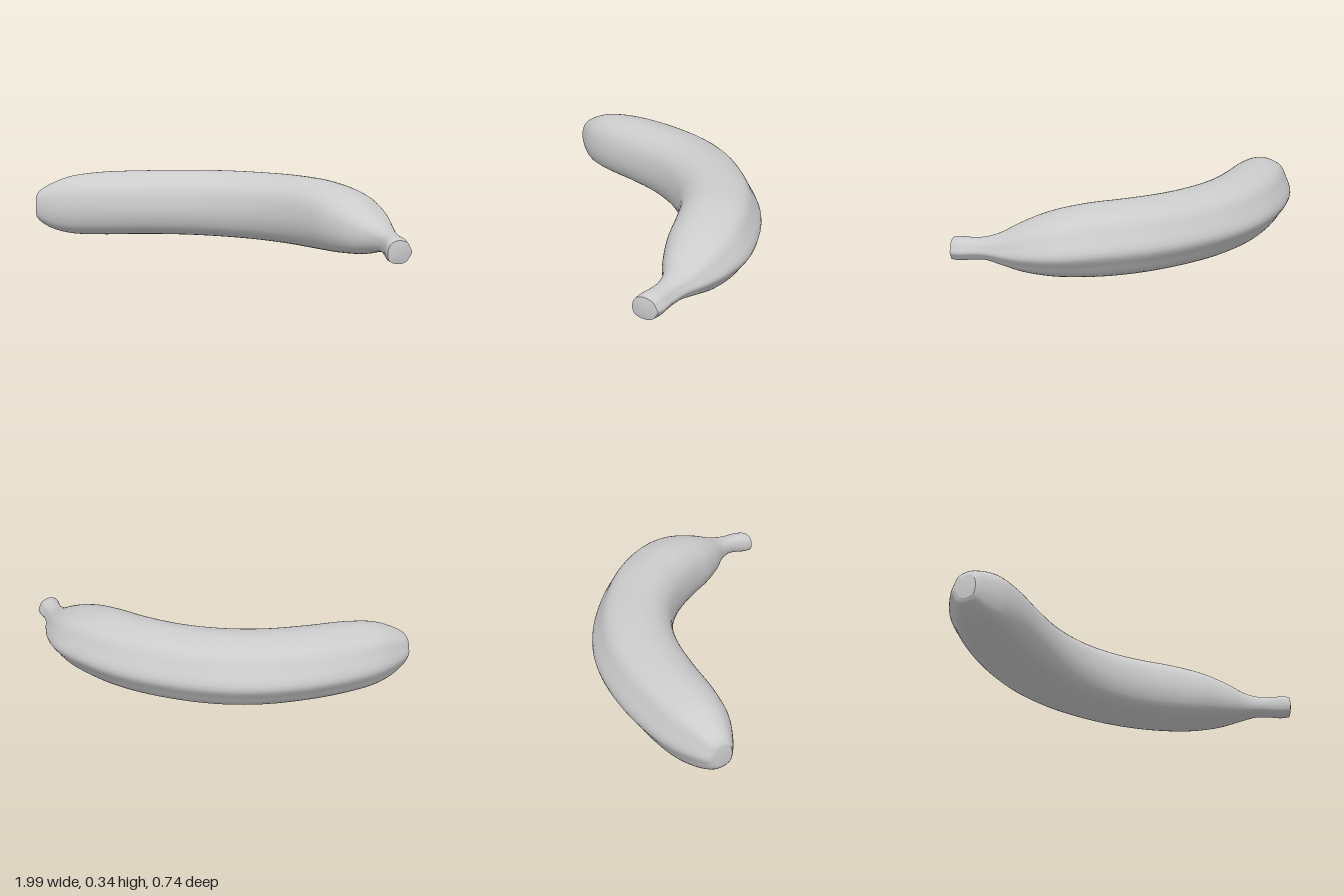
import * as THREE from 'three';

// Each station: outer edge x, z, inner edge x, z, then bottom and top height
const STATIONS = [
  [-0.995, 0.285, -0.945, 0.362, 0.105, 0.215],
  [-0.998, 0.26, -0.925, 0.364, 0.085, 0.237],
  [-0.965, 0.18, -0.86, 0.36, 0.045, 0.275],
  [-0.9, 0.07, -0.775, 0.342, 0.018, 0.31],
  [-0.79, -0.05, -0.65, 0.283, 0.008, 0.328],
  [-0.61, -0.19, -0.48, 0.18, 0.006, 0.333],
  [-0.4, -0.3, -0.3, 0.085, 0.004, 0.336],
  [-0.18, -0.358, -0.12, 0.027, 0.002, 0.339],
  [0.06, -0.372, 0.06, 0.01, 0.002, 0.34],
  [0.3, -0.348, 0.24, 0.035, 0.003, 0.34],
  [0.51, -0.28, 0.4, 0.09, 0.006, 0.332],
  [0.68, -0.185, 0.54, 0.153, 0.016, 0.3],
  [0.79, -0.06, 0.66, 0.19, 0.035, 0.25],
  [0.845, 0.04, 0.77, 0.212, 0.063, 0.2],
  [0.885, 0.125, 0.835, 0.248, 0.077, 0.177],
  [0.925, 0.185, 0.875, 0.293, 0.07, 0.17],
  [0.97, 0.232, 0.902, 0.337, 0.06, 0.168],
  [0.996, 0.27, 0.922, 0.362, 0.06, 0.16],
];

// Soft five-sided cross-section: (1, 0) is the outer ridge, (0, 1) the top
const SECTION = [
  [1, -0.08], [0.83, 0.38], [0.61, 0.76], [0.2, 0.95], [-0.2, 1], [-0.6, 0.87],
  [-0.88, 0.56], [-1, 0.1], [-0.99, -0.35], [-0.84, -0.72], [-0.45, -0.94],
  [0.15, -1], [0.58, -0.82], [0.82, -0.46],
];

const RINGS = 85, SIDES = 56;

// Closed rings swept from the blossom tip to the stem
function makeRings() {
  const outer = new THREE.CatmullRomCurve3(STATIONS.map(s => new THREE.Vector3(s[0], s[5], s[1])));
  const inner = new THREE.CatmullRomCurve3(STATIONS.map(s => new THREE.Vector3(s[2], s[4], s[3])));
  const section = new THREE.CatmullRomCurve3(SECTION.map(([d, v]) => new THREE.Vector3(d, v, 0)), true);
  const rings = [];
  for (let i = 0; i <= RINGS; i++) {
    const o = outer.getPoint(i / RINGS), n = inner.getPoint(i / RINGS);
    const ring = [];
    for (let j = 0; j < SIDES; j++) {
      const p = section.getPoint(j / SIDES);
      const k = (1 + p.x) / 2;
      ring.push(new THREE.Vector3(
        n.x + (o.x - n.x) * k,
        Math.max(0, (n.y + o.y) / 2 + p.y * (o.y - n.y) / 2),
        n.z + (o.z - n.z) * k));
    }
    rings.push(ring);
  }
  return rings;
}

function toGeometry(points, index) {
  const g = new THREE.BufferGeometry().setFromPoints(points);
  g.setIndex(index);
  g.computeVertexNormals();
  return g;
}

function skinGeometry(rings) {
  const index = [];
  for (let i = 0; i < RINGS; i++) {
    for (let j = 0; j < SIDES; j++) {
      const k = (j + 1) % SIDES;
      const a = i * SIDES + j, b = i * SIDES + k, c = a + SIDES, d = b + SIDES;
      index.push(a, b, c, b, d, c);
    }
  }
  return toGeometry(rings.flat(), index);
}

// Slightly domed end cap; bulge is the offset of its middle
function capGeometry(ring, bulge, flip) {
  const mid = new THREE.Vector3();
  ring.forEach(p => mid.add(p));
  mid.divideScalar(ring.length).add(bulge);
  const index = [];
  for (let j = 0; j < SIDES; j++) {
    const k = (j + 1) % SIDES;
    index.push(SIDES, flip ? k : j, flip ? j : k);
  }
  return toGeometry([...ring, mid], index);
}

export function createModel() {
  const group = new THREE.Group();
  group.name = 'banana';
  const material = new THREE.MeshStandardMaterial({ color: 0xcccccc, roughness: 0.8 });
  const add = (name, geometry) => {
    const mesh = new THREE.Mesh(geometry, material);
    mesh.name = name;
    group.add(mesh);
  };
  const rings = makeRings();
  add('peel', skinGeometry(rings));
  add('blossomTip', capGeometry(rings[0], new THREE.Vector3(-0.005, 0, 0.003), true));
  add('stemEnd', capGeometry(rings[RINGS], new THREE.Vector3(0.008, 0, 0.008), false));
  return group;
}
